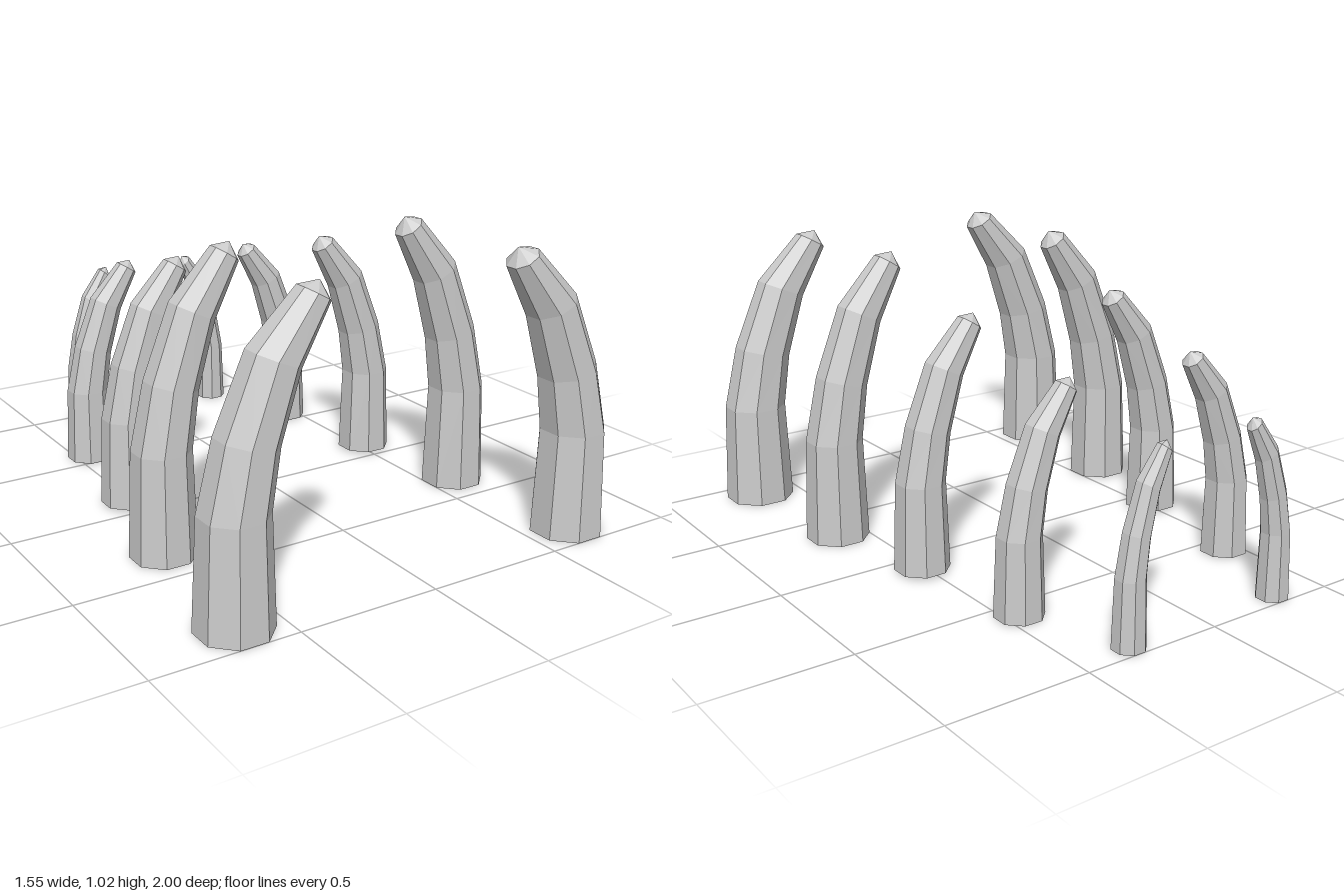
import * as THREE from 'three';

const SIDES = 8;

// Rings of one horn, from its foot to its tip, for radius 1 and height 1.02:
// outer x, outer y, inner x, inner y, half depth
const RINGS = [
  [1, 0, -1, 0, 1],
  [0.87, 0.37, -0.9, 0.37, 0.9],
  [0.4, 0.6, -1.17, 0.56, 0.8],
  [-0.5, 0.845, -1.79, 0.78, 0.68],
  [-1.9, 1.01, -2.68, 0.957, 0.45],
];
const APEX = [-2.46, 1.02, 0];

// Open-footed octagonal tube that bends inward and closes in a blunt point
function hornGeometry() {
  const positions = [];
  const index = [];
  const k = 1 / Math.cos(Math.PI / SIDES);
  for (const [ox, oy, ix, iy, depth] of RINGS) {
    for (let j = 0; j < SIDES; j++) {
      const a = ((j + 0.5) / SIDES) * Math.PI * 2;
      const c = Math.cos(a) * k;
      positions.push(
        (ox + ix) / 2 + (c * (ox - ix)) / 2,
        (oy + iy) / 2 + (c * (oy - iy)) / 2,
        Math.sin(a) * k * depth
      );
    }
  }
  const apex = positions.length / 3;
  positions.push(...APEX);
  for (let i = 0; i < RINGS.length; i++) {
    for (let j = 0; j < SIDES; j++) {
      const a = i * SIDES + j;
      const b = i * SIDES + ((j + 1) % SIDES);
      if (i === RINGS.length - 1) index.push(a, apex, b);
      else index.push(a, a + SIDES, b, b, a + SIDES, b + SIDES);
    }
  }
  const geometry = new THREE.BufferGeometry();
  geometry.setAttribute('position', new THREE.Float32BufferAttribute(positions, 3));
  geometry.setIndex(index);
  geometry.computeVertexNormals();
  return geometry;
}

// Pairs from front to back: foot centre x, z, radius, height, foot y
const PAIRS = [
  [0.658, 0.883, 0.117, 1.02, 0],
  [0.605, 0.34, 0.105, 1.02, 0],
  [0.515, -0.098, 0.09, 0.865, 0.01],
  [0.446, -0.573, 0.079, 0.757, 0],
  [0.306, -0.947, 0.053, 0.64, 0],
];

export function createModel() {
  const model = new THREE.Group();
  model.name = 'hornRows';
  const material = new THREE.MeshStandardMaterial({
    color: 0xcccccc,
    flatShading: true,
    side: THREE.DoubleSide,
  });
  const geometry = hornGeometry();

  // Mirrored horns, each pair scaled from the same shape
  PAIRS.forEach(([x, z, radius, height, foot], i) => {
    for (const side of [1, -1]) {
      const horn = new THREE.Mesh(geometry, material);
      horn.name = `${side > 0 ? 'left' : 'right'}Horn${i + 1}`;
      horn.scale.set(side * radius, height / 1.02, radius);
      horn.position.set(side * x, foot, z);
      model.add(horn);
    }
  });
  return model;
}
